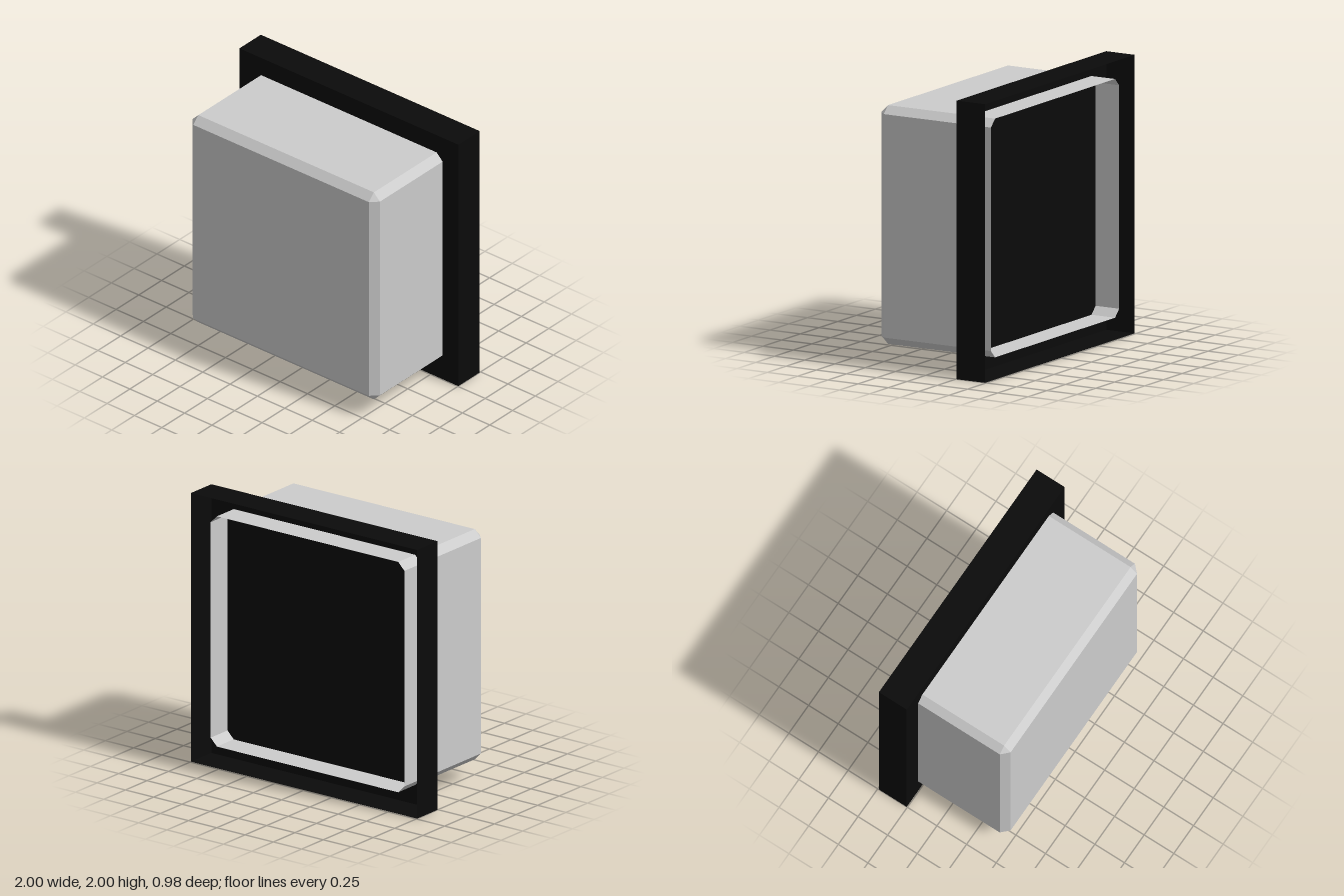
import * as THREE from 'three';

const HALF = 0.857, BEVEL = 0.055;      // block half-width and chamfer
const BACK = -0.45, FRONT = 0.49;       // block depth
const FRAME_BACK = -0.49, FRAME_FRONT = -0.255;

// Eight points of a square with cut corners, counter-clockwise seen from +z
function cutSquare(half, inner, z) {
  const ring = [];
  for (const [sx, sy] of [[1, 1], [-1, 1], [-1, -1], [1, -1]]) {
    const pair = [[sx * half, sy * inner, z], [sx * inner, sy * half, z]];
    ring.push(...(sx * sy > 0 ? pair : pair.reverse()));
  }
  return ring;
}

// Chamfered block, open at the back, lofted from three rings and capped in front
function chamferedBlock() {
  const inner = HALF - BEVEL;
  const rings = [
    cutSquare(HALF, inner, BACK),
    cutSquare(HALF, inner, FRONT - BEVEL),
    cutSquare(inner, inner, FRONT),
  ];
  const positions = [];
  const same = (p, q) => p.every((v, i) => v === q[i]);
  const tri = (a, b, c) => {
    if (!same(a, b) && !same(b, c) && !same(a, c)) positions.push(...a, ...b, ...c);
  };
  for (let r = 0; r < 2; r++) {
    for (let i = 0; i < 8; i++) {
      const j = (i + 1) % 8, lo = rings[r], hi = rings[r + 1];
      tri(lo[i], lo[j], hi[j]);
      tri(lo[i], hi[j], hi[i]);
    }
  }
  const cap = rings[2];
  tri(cap[0], cap[2], cap[4]);
  tri(cap[0], cap[4], cap[6]);
  const geometry = new THREE.BufferGeometry();
  geometry.setAttribute('position', new THREE.Float32BufferAttribute(positions, 3));
  geometry.computeVertexNormals();
  return geometry;
}

// Shallow square tray: a box without its rear face
function openBackTray() {
  const geometry = new THREE.BoxGeometry(2, 2, FRAME_FRONT - FRAME_BACK);
  geometry.setIndex(Array.from(geometry.index.array).slice(0, 30));
  geometry.clearGroups();
  return geometry;
}

export function createModel() {
  const group = new THREE.Group();
  group.name = 'panelButton';

  const grey = new THREE.MeshStandardMaterial({
    color: 0xcccccc, flatShading: true, side: THREE.DoubleSide,
  });
  const black = new THREE.MeshStandardMaterial({
    color: 0x0b0b0b, flatShading: true, side: THREE.DoubleSide,
  });

  // Block passing through the mounting frame
  const block = new THREE.Mesh(chamferedBlock(), grey);
  block.name = 'buttonBlock';
  block.position.y = 1;

  // Black frame, hollow behind
  const frame = new THREE.Mesh(openBackTray(), black);
  frame.name = 'mountingFrame';
  frame.position.set(0, 1, (FRAME_BACK + FRAME_FRONT) / 2);

  group.add(block, frame);
  return group;
}
